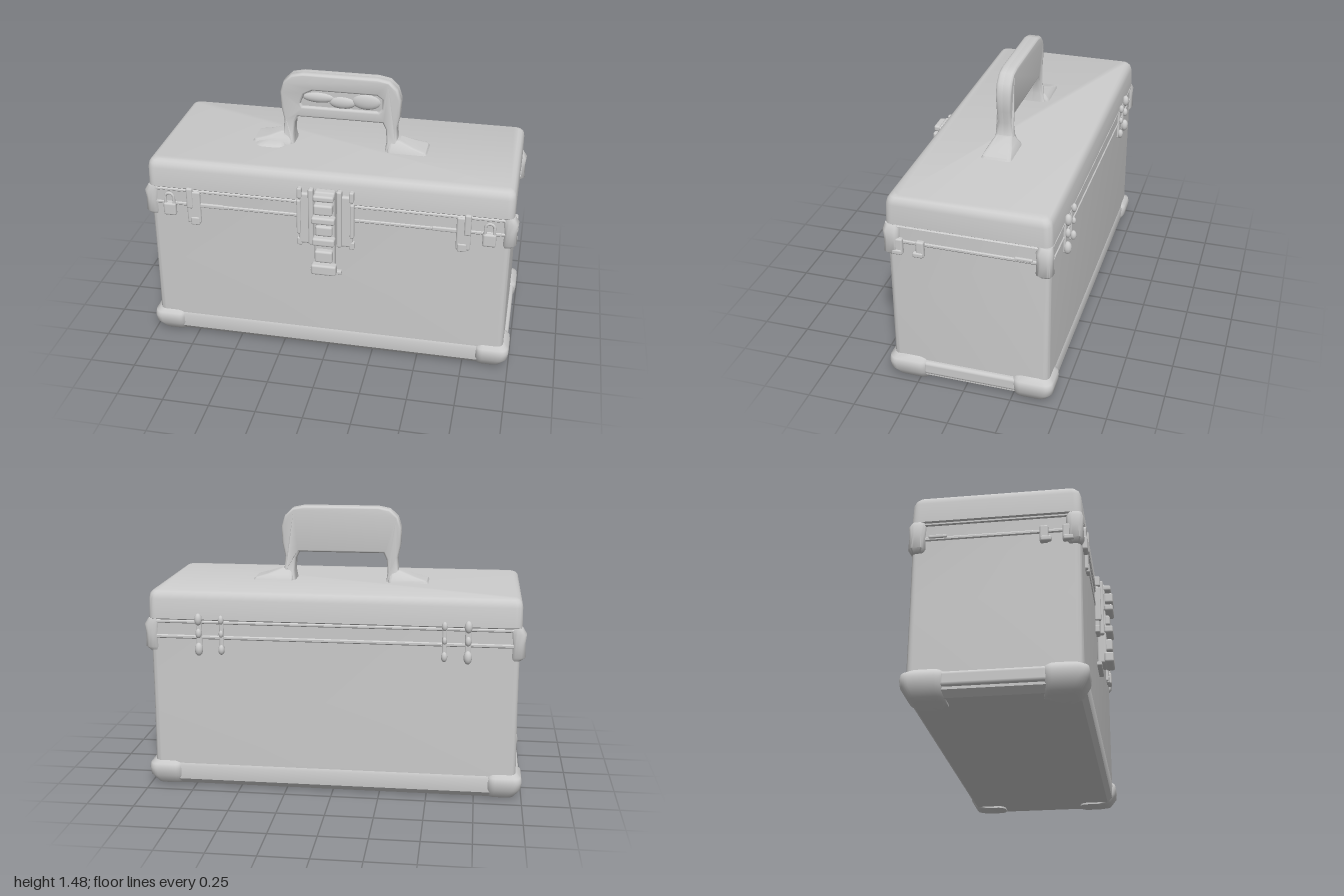
import * as THREE from 'three';
import { toCreasedNormals } from 'three/addons/utils/BufferGeometryUtils.js';
import { RoundedBoxGeometry } from 'three/addons/geometries/RoundedBoxGeometry.js';

const mat = new THREE.MeshStandardMaterial({ color: 0xcccccc });

// Stack of rounded rectangles; each ring is [y, xCentre, zCentre, halfX, halfZ, radius]
function loft(rings, crease = 0.6) {
  const steps = 6, n = 4 * (steps + 1), pos = [], idx = [];
  for (const [y, cx, cz, hx, hz, r] of rings) {
    for (let c = 0; c < 4; c++) {
      const sx = c === 0 || c === 3 ? 1 : -1, sz = c < 2 ? 1 : -1;
      for (let i = 0; i <= steps; i++) {
        const t = (c + i / steps) * Math.PI / 2;
        pos.push(cx + sx * (hx - r) + r * Math.cos(t), y, cz + sz * (hz - r) + r * Math.sin(t));
      }
    }
  }
  for (let k = 0; k < rings.length - 1; k++) {
    for (let j = 0; j < n; j++) {
      const a = k * n + j, b = k * n + (j + 1) % n;
      idx.push(a, a + n, b, b, a + n, b + n);
    }
  }
  const top = (rings.length - 1) * n;
  for (let j = 1; j < n - 1; j++) idx.push(0, j, j + 1, top, top + j + 1, top + j);
  const g = new THREE.BufferGeometry();
  g.setAttribute('position', new THREE.Float32BufferAttribute(pos, 3));
  g.setIndex(idx);
  return toCreasedNormals(g, crease);
}

export function createModel() {
  const model = new THREE.Group();
  model.name = 'carryCase';

  function add(name, geo, parent = model) {
    const m = new THREE.Mesh(geo, mat);
    m.name = name;
    parent.add(m);
    return m;
  }
  function box(name, x, y, z, w, h, d, r = 0.008, parent = model) {
    const m = add(name, new RoundedBoxGeometry(w, h, d, 2, Math.min(r, w / 2.1, h / 2.1, d / 2.1)), parent);
    m.position.set(x, y, z);
    return m;
  }
  function group(name) {
    const g = new THREE.Group();
    g.name = name;
    model.add(g);
    return g;
  }

  // Case body and lid
  const zc = -0.027;
  add('body', loft([
    [0.01, 0, zc, 0.93, 0.385, 0.04], [0.05, 0, zc, 0.965, 0.412, 0.04],
    [0.14, 0, zc, 0.967, 0.414, 0.035], [0.5, 0, zc, 0.963, 0.413, 0.03], [0.92, 0, zc, 0.963, 0.414, 0.03],
  ]));
  add('lid', loft([
    [0.925, 0, zc, 0.962, 0.412, 0.035], [0.932, 0, zc, 0.972, 0.421, 0.04], [1.035, 0, zc, 0.971, 0.416, 0.04],
    [1.06, 0, zc, 0.966, 0.408, 0.04], [1.073, 0, zc, 0.955, 0.396, 0.035], [1.08, 0, zc, 0.938, 0.38, 0.03],
  ], 0.8));
  add('seamBead', loft([
    [0.908, 0, zc, 0.963, 0.414, 0.035], [0.913, 0, zc, 0.971, 0.42, 0.04],
    [0.921, 0, zc, 0.971, 0.42, 0.04], [0.926, 0, zc, 0.963, 0.414, 0.035],
  ]));
  add('bodyBand', loft([
    [0.825, 0, zc, 0.963, 0.413, 0.03], [0.831, 0, zc, 0.968, 0.419, 0.035],
    [0.841, 0, zc, 0.968, 0.419, 0.035], [0.847, 0, zc, 0.963, 0.413, 0.03],
  ]));

  // Base skirt and corner bumpers
  add('baseSkirt', loft([
    [0.01, 0, zc, 0.94, 0.39, 0.05], [0.04, 0, zc, 0.972, 0.415, 0.05],
    [0.115, 0, zc, 0.975, 0.421, 0.05], [0.132, 0, zc, 0.966, 0.413, 0.04],
  ]));
  for (const sx of [1, -1]) {
    for (const sz of [1, -1]) {
      const cx = sx * 0.9, cz = zc + sz * 0.325;
      const ring = (y, out, dx = 0) => [y, cx + sx * out / 2, cz + sz * out / 2, 0.085 + out / 2 - dx, 0.1 + out / 2 - dx, 0.045];
      add('cornerBumper', loft([
        ring(0, -0.05), ring(0.012, -0.02), ring(0.06, 0.01), ring(0.1, 0.015), ring(0.125, 0.01), ring(0.148, -0.012, 0.008),
      ], 0.9));
      // Corner guards beneath the lid
      add('upperCornerGuard', loft([
        [0.76, sx * 0.945, zc + sz * 0.385, 0.025, 0.03, 0.02],
        [0.78, sx * 0.955, zc + sz * 0.385, 0.037, 0.043, 0.03],
        [0.85, sx * 0.955, zc + sz * 0.385, 0.034, 0.04, 0.028],
        [0.9, sx * 0.955, zc + sz * 0.385, 0.04, 0.043, 0.03],
        [0.93, sx * 0.945, zc + sz * 0.385, 0.03, 0.035, 0.025],
      ], 0.9));
    }
    box('endRail', sx * 0.965, 0.09, zc, 0.045, 0.075, 0.5, 0.018);
  }

  // Handle: arched outline, front rim around a finger recess
  const handle = group('handle');
  const half = [[0.335, 1.08], [0.305, 1.13], [0.3, 1.21], [0.315, 1.28], [0.318, 1.37], [0.3, 1.425], [0.26, 1.462], [0.2, 1.474]];
  const inner = [[0.255, 1.08], [0.262, 1.13], [0.255, 1.2], [0.235, 1.238]];
  const mirror = (pts) => pts.map(([x, y]) => [-x, y]).reverse();
  const outline = [...half, ...mirror(half), ...inner.map(([x, y]) => [-x, y]), ...inner.slice().reverse()];
  const toVec = (pts) => pts.map(([x, y]) => new THREE.Vector2(x, y));
  const bevel = { bevelEnabled: true, bevelThickness: 0.018, bevelSize: 0.012, bevelOffset: -0.004, bevelSegments: 4 };
  const flare = (g) => {
    const p = g.attributes.position;
    for (let i = 0; i < p.count; i++) {
      const y = p.getY(i), low = Math.max(0, (1.2 - y) / 0.12);
      const waist = y < 1.36 && y > 1.1 ? 1 - 0.12 * Math.sin((1.36 - y) / 0.26 * Math.PI) : 1;
      p.setZ(i, -0.015 + (p.getZ(i) + 0.015) * (waist + 0.6 * low * low));
    }
    return toCreasedNormals(g, 0.7);
  };
  const back = new THREE.ExtrudeGeometry(new THREE.Shape(toVec(outline)), { depth: 0.025, ...bevel });
  back.translate(0, 0, -0.038);
  add('handleBack', flare(back), handle);
  const rim = new THREE.Shape(toVec(outline));
  rim.holes.push(new THREE.Path(toVec([[-0.21, 1.285], [0.21, 1.285], [0.235, 1.31], [0.235, 1.37],
    [0.2, 1.395], [-0.15, 1.395], [-0.2, 1.37], [-0.225, 1.31]])));
  const front = new THREE.ExtrudeGeometry(rim, { depth: 0.02, ...bevel });
  front.translate(0, 0, -0.012);
  add('handleRim', flare(front), handle);
  // Uneven padding in the recess
  for (const [x, y, rx, ry] of [[-0.12, 1.345, 0.09, 0.03], [0.01, 1.325, 0.075, 0.035], [0.14, 1.34, 0.08, 0.045]]) {
    const pad = add('gripPad', new THREE.SphereGeometry(1, 18, 12), handle);
    pad.position.set(x, y, -0.002);
    pad.scale.set(rx, ry, 0.02);
  }
  // Handle feet
  for (const s of [1, -1]) {
    add('handleFoot', loft([
      [1.075, s * 0.37, -0.02, 0.11, 0.082, 0.02], [1.092, s * 0.365, -0.02, 0.105, 0.076, 0.02],
      [1.11, s * 0.335, -0.018, 0.07, 0.062, 0.02], [1.14, s * 0.297, -0.015, 0.03, 0.04, 0.015],
    ]), handle);
  }
  add('footTab', loft([
    [1.075, -0.375, 0.06, 0.085, 0.06, 0.05], [1.087, -0.37, 0.05, 0.07, 0.05, 0.04], [1.096, -0.36, 0.03, 0.04, 0.03, 0.02],
  ]), handle);

  // Centre latch: side plates, stepped strap and hasp
  const latch = group('centreLatch');
  for (const s of [1, -1]) {
    box('latchPlate', s * 0.1, 0.83, 0.39, 0.09, 0.3, 0.04, 0.012, latch);
    box('latchRail', s * 0.075, 0.85, 0.41, 0.028, 0.33, 0.04, 0.01, latch);
    box('latchEdge', s * 0.142, 0.84, 0.402, 0.022, 0.2, 0.035, 0.008, latch);
    box('latchEar', s * 0.138, 0.98, 0.4, 0.025, 0.06, 0.035, 0.008, latch);
    box('latchFoot', s * 0.14, 0.69, 0.395, 0.03, 0.045, 0.03, 0.008, latch);
  }
  box('latchStrap', 0, 0.77, 0.412, 0.11, 0.48, 0.05, 0.012, latch);
  for (const [y, h, w, z] of [[0.985, 0.035, 0.11, 0.445], [0.925, 0.06, 0.1, 0.455], [0.86, 0.04, 0.125, 0.455],
    [0.79, 0.06, 0.09, 0.435], [0.73, 0.045, 0.12, 0.45], [0.64, 0.07, 0.095, 0.445], [0.56, 0.06, 0.135, 0.45]]) {
    box('latchStep', 0, y, z, w, h, 0.05, 0.012, latch);
  }
  box('latchHaspPlate', 0, 0.515, 0.397, 0.17, 0.022, 0.03, 0.006, latch);

  // Front side fastenings
  for (const s of [1, -1]) {
    const f = group('frontFastening');
    box('claspPlate', s * 0.72, 0.825, 0.39, 0.075, 0.19, 0.024, 0.01, f);
    box('claspTongue', s * 0.74, 0.88, 0.397, 0.035, 0.12, 0.024, 0.01, f);
    box('claspHook', s * 0.715, 0.745, 0.397, 0.05, 0.05, 0.02, 0.01, f);
    box('claspStrap', s * 0.63, 0.837, 0.387, 0.15, 0.025, 0.018, 0.008, f);
    box('lockBody', s * 0.853, 0.805, 0.395, 0.07, 0.075, 0.032, 0.012, f);
    const loop = add('lockShackle', new THREE.TorusGeometry(0.023, 0.008, 8, 16, Math.PI), f);
    loop.position.set(s * 0.853, 0.875, 0.397);
    for (const d of [-0.023, 0.023]) box('lockShackleLeg', s * 0.853 + d, 0.855, 0.397, 0.016, 0.05, 0.016, 0.007, f);

    // End tabs
    for (const z of [0.32, 0.21]) {
      box('endTab', s * 0.972, 0.815, z, 0.03, 0.09, 0.042, 0.01);
      box('endTabHook', s * 0.98, 0.785, z + 0.01, 0.025, 0.03, 0.055, 0.01);
    }
    box('endTabBar', s * 0.967, 0.846, -0.31, 0.016, 0.018, 0.09, 0.006);

    // Back hinges with rounded knuckles
    for (const [x, r] of [[0.7, 0.02], [0.58, 0.015]]) {
      const h = group('hinge');
      box('hingeLeaf', s * x, 0.85, -0.443, r * 1.6, 0.2, 0.018, 0.008, h);
      for (const [y, k] of [[0.935, 1], [0.86, 0.8], [0.775, 1.1]]) {
        const knob = add('hingeKnuckle', new THREE.SphereGeometry(r * k, 14, 10), h);
        knob.position.set(s * x, y, -0.458);
        knob.scale.y = 1.6;
      }
    }
  }
  return model;
}
